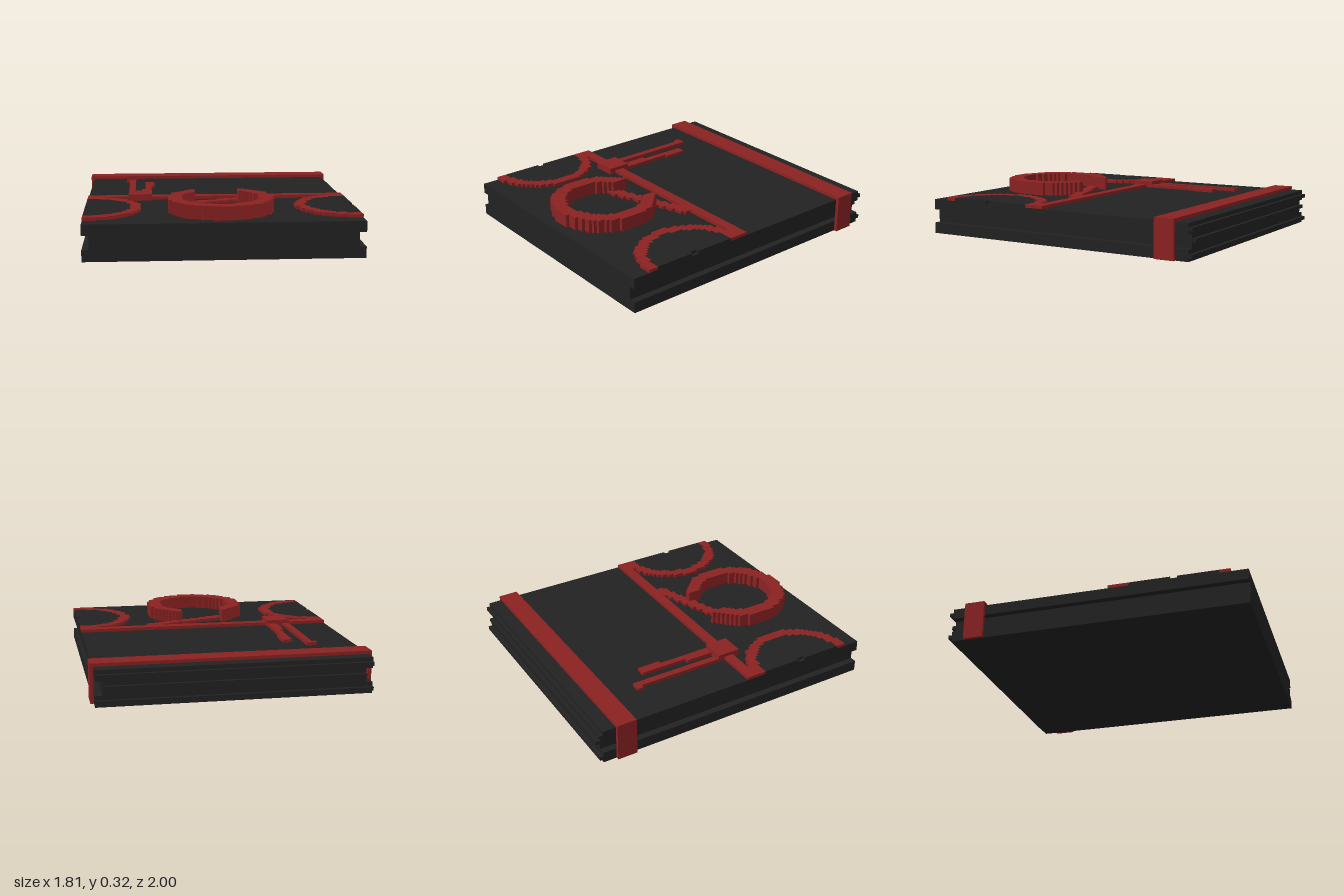
import * as THREE from 'three';

const dark = new THREE.MeshStandardMaterial({ color: 0x222222 });
dark.name = 'charcoal';
const red = new THREE.MeshStandardMaterial({ color: 0x8b2222 });
red.name = 'dark red';

const HALF = 0.885, TOP = 0.235, LOW = 0.256, CELL = (HALF * 2) / 78;

// Box given by its extents on each axis
function block(name, mat, [x0, x1], [y0, y1], [z0, z1]) {
  const mesh = new THREE.Mesh(new THREE.BoxGeometry(x1 - x0, y1 - y0, z1 - z0), mat);
  mesh.position.set((x0 + x1) / 2, (y0 + y1) / 2, (z0 + z1) / 2);
  mesh.name = name;
  return mesh;
}

// Stepped relief on the cover: every grid cell passing the test is raised to y1
function relief(name, mat, y1, test) {
  const pos = [], y0 = TOP;
  const quad = (a, b, c, d) => pos.push(...a, ...b, ...c, ...a, ...c, ...d);
  const filled = (i, k) => i >= 0 && i < 78 && k >= 0 && k < 40 &&
    test(-HALF + (i + 0.5) * CELL, 1 - (k + 0.5) * CELL);
  for (let k = 0; k < 40; k++) for (let i = 0; i < 78; i++) {
    if (!filled(i, k)) continue;
    const l = -HALF + i * CELL, r = l + CELL, f = 1 - k * CELL, b = f - CELL;
    quad([l, y1, f], [r, y1, f], [r, y1, b], [l, y1, b]);
    if (!filled(i, k - 1)) quad([l, y0, f], [r, y0, f], [r, y1, f], [l, y1, f]);
    if (!filled(i, k + 1)) quad([r, y0, b], [l, y0, b], [l, y1, b], [r, y1, b]);
    if (!filled(i + 1, k)) quad([r, y0, f], [r, y0, b], [r, y1, b], [r, y1, f]);
    if (!filled(i - 1, k)) quad([l, y0, b], [l, y0, f], [l, y1, f], [l, y1, b]);
  }
  const geo = new THREE.BufferGeometry();
  geo.setAttribute('position', new THREE.Float32BufferAttribute(pos, 3));
  geo.computeVertexNormals();
  const mesh = new THREE.Mesh(geo, mat);
  mesh.name = name;
  return mesh;
}

export function createModel() {
  const g = new THREE.Group();
  g.name = 'panel';

  // Slab with a groove along each side
  const w = HALF, n = 0.84;
  const section = new THREE.Shape([
    [-w, 0], [w, 0], [w, 0.073], [n, 0.073], [n, 0.165], [w, 0.165], [w, TOP],
    [-w, TOP], [-w, 0.165], [-n, 0.165], [-n, 0.073], [-w, 0.073],
  ].map(([x, y]) => new THREE.Vector2(x, y)));
  const slab = new THREE.Mesh(
    new THREE.ExtrudeGeometry(section, { depth: 1.975, bevelEnabled: false }), dark);
  slab.position.z = -0.975;
  slab.name = 'slab';
  g.add(slab);

  // Ridges across the back edge
  for (const [y, half] of [[0.022, w], [0.112, n], [0.185, w]])
    g.add(block('backRidge', dark, [-half, half], [y, y + 0.024], [-1, -0.975]));

  // Strap over the top and down both sides
  g.add(block('strapTop', red, [-0.907, 0.907], [TOP, LOW], [-0.885, -0.75]));
  for (const s of [-1, 1])
    g.add(block('strapSide', red, s < 0 ? [-0.907, -w] : [w, 0.907], [0, TOP], [-0.885, -0.75]));

  // Cross bar with its square hub and two thin hands
  g.add(block('crossBar', red, [-w, w], [TOP, LOW], [0.09, 0.158]));
  g.add(block('hub', red, [-0.605, -0.445], [TOP, 0.28], [0.045, 0.205]));
  g.add(block('longHand', red, [-0.605, -0.56], [TOP, LOW], [-0.585, 0.045]));
  g.add(block('longHandTip', red, [-0.63, -0.605], [TOP, LOW], [-0.585, -0.545]));
  g.add(block('shortHandBase', red, [-0.515, -0.447], [TOP, LOW], [-0.145, 0.045]));
  g.add(block('shortHandMiddle', red, [-0.49, -0.447], [TOP, LOW], [-0.31, -0.145]));
  g.add(block('shortHandTip', red, [-0.49, -0.425], [TOP, LOW], [-0.47, -0.31]));

  // Tall open ring
  g.add(relief('ring', red, 0.325, (x, z) => {
    const d = Math.hypot(x, z - 0.582);
    return d > 0.256 && d < 0.346 && !(z < 0.5 && x > -0.165 && x < 0.136);
  }));

  // Slanted bar from the ring to the cross bar
  g.add(relief('slantBar', red, LOW, (x, z) =>
    x > -0.19 && x < 0.41 && z > 0.158 && Math.abs(z - (0.32 - 0.37 * x)) < 0.037));

  // Half-circle rims at the sides with flush dark filling
  for (const [s, cx] of [[-1, -0.88], [1, 0.87]]) {
    const dist = (x, z) => (x * s > 0 ? Math.hypot(x - cx, z - 0.52) : 9);
    g.add(relief('sideRim', red, LOW, (x, z) => {
      const d = dist(x, z);
      return d >= 0.296 && d < 0.364;
    }));
    g.add(relief('sideFill', dark, LOW, (x, z) =>
      dist(x, z) < 0.296 && !(Math.abs(x) > 0.865 && Math.abs(z - 0.522) < 0.014)));
  }
  return g;
}
